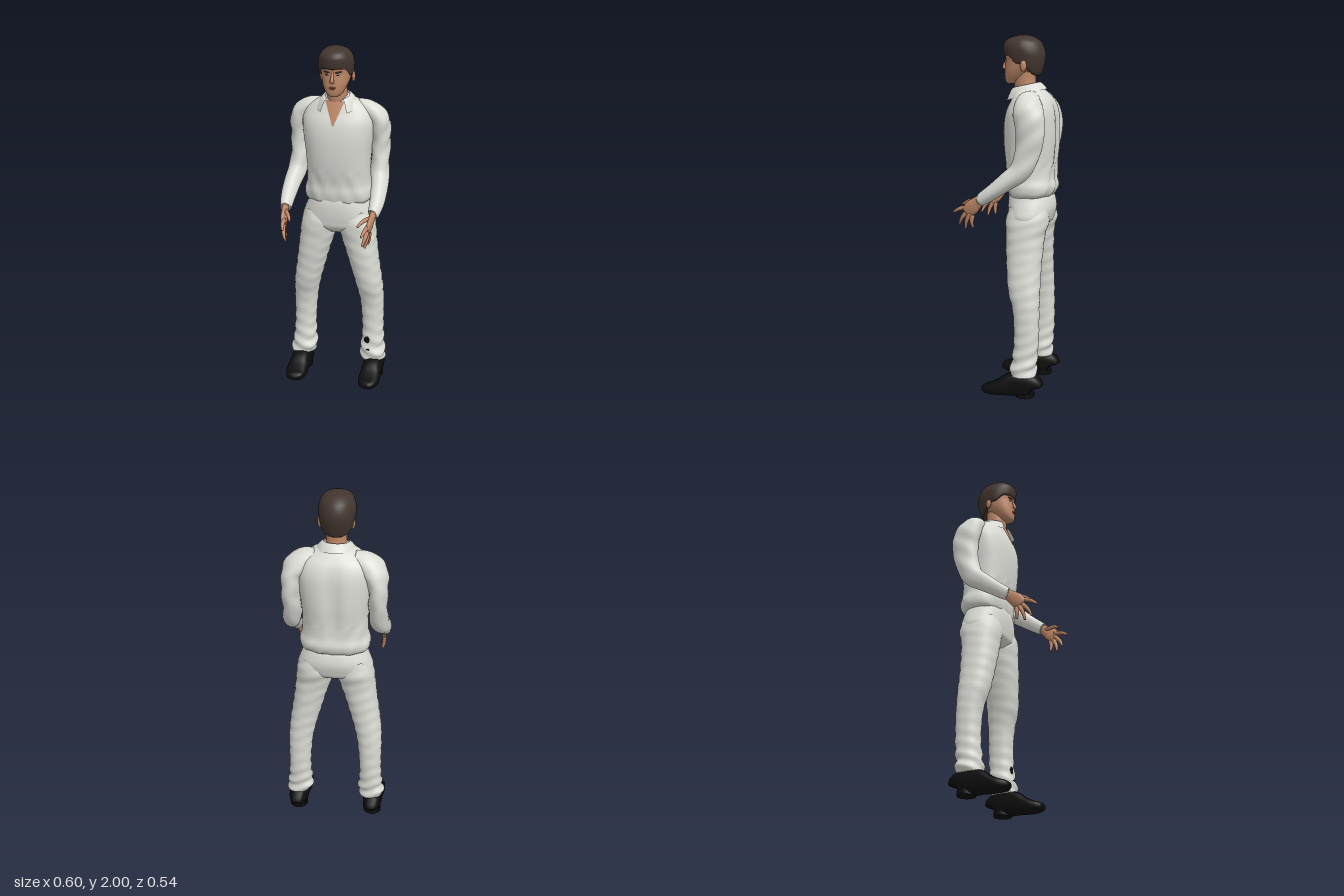
import * as THREE from 'three';
import { ParametricGeometry } from 'three/addons/geometries/ParametricGeometry.js';

const mat = (name, color, side = THREE.FrontSide) => {
  const m = new THREE.MeshStandardMaterial({ color, side });
  m.name = name;
  return m;
};

// Closed skin over oval rings along a path. Each section is [x, y, z, depth radius, side radius].
// flat keeps the rings level, n is the squareness, bend moves each vertex afterwards.
function sweep(sections, { flat = false, n = 2, seg = 20, steps = 30, ref = [0, 0.5, 1], bend } = {}) {
  const path = new THREE.CatmullRomCurve3(sections.map(s => new THREE.Vector3(s[0], s[1], s[2])), false, 'catmullrom', 0.5);
  const radii = new THREE.CatmullRomCurve3(sections.map(s => new THREE.Vector3(s[3], s[4], 0)), false, 'catmullrom', 0.5);
  const pos = [], idx = [];
  const up = new THREE.Vector3(...ref);
  const put = p => { if (bend) bend(p); pos.push(p.x, p.y, p.z); };
  const pw = v => Math.sign(v) * Math.pow(Math.abs(v), 2 / n);
  for (let i = 0; i <= steps; i++) {
    const t = i / steps, c = path.getPoint(t), r = radii.getPoint(t), T = path.getTangent(t);
    if (flat) T.set(0, Math.sign(T.y), 0);
    const U = flat ? new THREE.Vector3(0, 0, 1) : up.clone().addScaledVector(T, -up.dot(T)).normalize();
    const V = T.clone().cross(U);
    for (let j = 0; j < seg; j++) {
      const a = j / seg * Math.PI * 2;
      put(c.clone().addScaledVector(U, r.x * pw(Math.cos(a))).addScaledVector(V, r.y * pw(Math.sin(a))));
    }
  }
  put(path.getPoint(0));
  put(path.getPoint(1));
  const first = (steps + 1) * seg;
  for (let j = 0; j < seg; j++) {
    const k = (j + 1) % seg, e = steps * seg;
    for (let i = 0; i < steps; i++) {
      const a = i * seg + j, b = i * seg + k;
      idx.push(a, b, b + seg, a, b + seg, a + seg);
    }
    idx.push(first, k, j, first + 1, e + j, e + k);
  }
  const g = new THREE.BufferGeometry();
  g.setAttribute('position', new THREE.Float32BufferAttribute(pos, 3));
  g.setIndex(idx);
  g.computeVertexNormals();
  return g;
}

// Level section from height, side extents and front/back extents
const sec = (y, x0, x1, zf, zb) => [(x0 + x1) / 2, y, (zf + zb) / 2, (zf - zb) / 2, Math.abs(x1 - x0) / 2];
const even = list => list.map(([y, rx, zf, zb]) => sec(y, -rx, rx, zf, zb));
// Bell-shaped weight around zero
const bell = d => Math.exp(-d * d);

export function createModel() {
  const root = new THREE.Group();
  root.name = 'standingMan';
  const cloth = mat('offWhiteCloth', 0xdcdcd6);
  const collarCloth = mat('offWhiteCollar', 0xdcdcd6, THREE.DoubleSide);
  const skin = mat('skin', 0xbc8666, THREE.DoubleSide);
  const hair = mat('darkBrownHair', 0x42352e);
  const black = mat('blackLeather', 0x0d0d0e);
  const lip = mat('lips', 0x8e5644);
  const eyeWhite = mat('eyeWhite', 0xcfc4ba);
  const add = (name, geo, m, parent = root) => {
    const mesh = new THREE.Mesh(geo, m);
    mesh.name = name;
    parent.add(mesh);
    return mesh;
  };
  const blob = (name, m, p, s, ry = 0, rz = 0) => {
    const mesh = add(name, new THREE.SphereGeometry(1, 16, 12), m);
    mesh.position.set(...p);
    mesh.scale.set(...s);
    mesh.rotation.set(0, ry, rz);
  };

  // Shirt body with a spine groove and a gathered hem
  add('shirt', sweep(even([
    [1.105, .165, -.01, -.222], [1.13, .19, 0, -.252], [1.17, .195, .006, -.265], [1.22, .183, .006, -.256],
    [1.3, .18, .02, -.26], [1.4, .187, .03, -.27], [1.5, .2, .03, -.27], [1.58, .205, .016, -.262],
    [1.64, .185, -.01, -.24], [1.68, .14, -.025, -.207], [1.71, .085, -.035, -.178], [1.725, .06, -.04, -.16],
  ]), {
    flat: true, n: 2.4, seg: 48, steps: 60, bend: p => {
      if (p.z < -.17 && p.y > 1.2 && p.y < 1.68) {
        p.z += .022 * Math.sin((p.y - 1.2) / .48 * Math.PI) * bell(p.x / .035);
      }
      if (p.y < 1.3) p.z += .004 * Math.sin(p.x * 75 + p.y * 30) * Math.sign(p.z + .13);
    },
  }), cloth);

  // Trouser seat
  add('trouserSeat', sweep(even([
    [1.14, .165, -.005, -.228], [1.1, .178, .004, -.247], [1.05, .198, .005, -.255],
    [1, .212, 0, -.244], [.96, .19, -.01, -.225], [.925, .09, -.05, -.17],
  ]), { flat: true, n: 2.3, seg: 40 }), cloth);

  // Neck and head
  add('neck', sweep(even([[1.62, .07, -.05, -.15], [1.68, .06, -.025, -.15], [1.75, .056, -.018, -.14], [1.8, .055, -.02, -.14]]),
    { flat: true }), skin);
  add('head', sweep(even([
    [1.733, .02, .02, -.02], [1.74, .034, .029, -.045], [1.76, .051, .034, -.075], [1.79, .066, .035, -.11],
    [1.82, .076, .033, -.14], [1.86, .083, .029, -.16], [1.9, .086, .03, -.17], [1.95, .07, 0, -.15], [1.975, .03, -.04, -.11],
  ]), { flat: true, n: 2.15, seg: 36, steps: 40 }), skin);

  // Hair cap: the lower edge changes from fringe to sideburn to nape
  const edge = [1.885, 1.887, 1.88, 1.845, 1.84, 1.81, 1.785, 1.776, 1.775];
  const hairCap = add('hair', sweep(even([
    [1.775, .084, .032, -.155], [1.79, .093, .041, -.172], [1.85, .099, .045, -.189], [1.9, .098, .043, -.193],
    [1.95, .084, .024, -.177], [1.98, .058, -.01, -.145], [1.995, .03, -.042, -.11], [2, .006, -.07, -.082],
  ]), {
    flat: true, seg: 64, steps: 40, bend: p => {
      const d = Math.abs(Math.atan2(p.x, p.z + .075)) / Math.PI * 8;
      const i = Math.min(7, Math.floor(d));
      const e = THREE.MathUtils.lerp(edge[i], edge[i + 1], d - i);
      p.y = 2 - (2 - p.y) * (2 - e) / .225;
    },
  }), hair);
  hairCap.position.x = -.004;

  // Face
  add('nose', sweep([[0, 1.872, .024, .006, .007], [0, 1.845, .035, .008, .008], [0, 1.824, .042, .009, .012], [0, 1.814, .034, .006, .012]],
    { steps: 14, seg: 14 }), skin);
  blob('upperLip', lip, [0, 1.788, .035], [.02, .0035, .004]);
  blob('lowerLip', lip, [0, 1.781, .034], [.017, .004, .004]);

  // Open neckline
  add('neckline', new ParametricGeometry((u, v, p) => {
    const x = (u * 2 - 1) * (.004 + .05 * v);
    p.set(x, 1.57 + .13 * v, .026 - .05 * v - 2 * x * x);
  }, 8, 10), skin);

  // Folded collar, open at the front
  add('collar', new ParametricGeometry((u, v, p) => {
    const a = .68 + u * (Math.PI * 2 - 1.36), back = (1 - Math.cos(a)) / 2;
    const w = Math.sin(v * Math.PI / 2);
    p.set(Math.sin(a) * (.118 - .05 * v),
      THREE.MathUtils.lerp(1.635 + .07 * back, 1.71 + .032 * back, w),
      -.085 + Math.cos(a) * (.118 - .044 * v));
  }, 40, 8), collarCloth);

  for (const s of [1, -1]) {
    const side = s > 0 ? 'left' : 'right';
    const flip = list => list.map(([x, ...rest]) => [s * x, ...rest]);

    // Eyes, brows, ears
    blob(side + 'Eye', eyeWhite, [s * .032, 1.857, .0265], [.013, .0045, .003], s * .3);
    blob(side + 'Iris', black, [s * .031, 1.857, .029], [.005, .0045, .002], s * .3);
    blob(side + 'Brow', hair, [s * .034, 1.872, .0265], [.02, .004, .005], s * .35, s * .1);
    blob(side + 'Ear', skin, [s * .089, 1.832, -.09], [.01, .031, .018], s * .3);

    // Sleeve from shoulder to cuff
    add(side + 'Sleeve', sweep(flip([
      [.1, 1.65, -.135, .05, .05], [.17, 1.632, -.142, .072, .057], [.222, 1.58, -.152, .084, .06],
      [.236, 1.48, -.165, .08, .052], [.235, 1.37, -.15, .07, .051], [.241, 1.275, -.112, .06, .051],
      [.252, 1.215, -.04, .05, .046], [.256, 1.155, .04, .041, .04], [.252, 1.113, .1, .036, .031], [.251, 1.107, .109, .03, .026],
    ]), {
      seg: 28, steps: 60,
      bend: p => { p.x += .003 * Math.sin(p.y * 55 + p.z * 40); },
    }), cloth);

    // Hand
    const hand = new THREE.Group();
    hand.name = side + 'Hand';
    root.add(hand);
    add('palm', sweep(flip([
      [.252, 1.125, .085, .024, .02], [.25, 1.095, .125, .032, .017], [.245, 1.062, .163, .041, .017], [.239, 1.033, .192, .033, .012],
    ]), { steps: 14 }), skin, hand);
    const fingers = [
      [[.238, 1.062, .185], [.232, 1.052, .235], [.221, 1.03, .273]],
      [[.239, 1.043, .183], [.232, 1.005, .22], [.22, .965, .24]],
      [[.241, 1.028, .173], [.236, .985, .195], [.226, .943, .203]],
      [[.243, 1.02, .158], [.242, .985, .163], [.236, .952, .158]],
      [[.244, 1.098, .135], [.212, 1.092, .19], [.191, 1.072, .23]],
    ];
    fingers.forEach(([a, b, c], i) => add(i < 4 ? 'finger' : 'thumb', sweep(flip([
      [...a, .014, .012], [...b, .011, .011], [...c, .006, .006],
    ]), { seg: 12, steps: 12 }), skin, hand));

    // Trouser leg with crumpled cuff
    add(side + 'TrouserLeg', sweep([
      [1.06, .02, .188, -.02, -.23], [.98, .004, .215, 0, -.242], [.9, .02, .225, -.005, -.222], [.8, .052, .236, -.01, -.215],
      [.7, .08, .25, -.02, -.21], [.6, .108, .264, -.032, -.21], [.5, .13, .27, -.06, -.21], [.4, .14, .27, -.07, -.21],
      [.3, .145, .271, -.07, -.208], [.2, .14, .278, -.06, -.2], [.155, .135, .288, -.052, -.198], [.12, .148, .285, -.052, -.194],
    ].map(([y, a, b, f, k]) => sec(y, s * a, s * b, f, k)), {
      flat: true, n: 2.2, seg: 32, steps: 66,
      bend: p => {
        const w = .0015 + .0035 * bell((p.y - .16) / .12);
        p.x += w * Math.sin(p.y * 95 + p.z * 25);
        p.z += w * Math.sin(p.y * 80 + p.x * 30);
      },
    }), cloth);

    // Shoe, heel to toe
    add(side + 'Shoe', sweep(flip([
      [.222, .05, -.192, .04, .03], [.222, .065, -.18, .063, .05], [.221, .069, -.12, .068, .055], [.221, .066, -.06, .065, .056],
      [.222, .047, 0, .046, .061], [.221, .036, .05, .033, .06], [.216, .032, .09, .024, .046], [.212, .032, .11, .012, .022],
    ]), { ref: [0, 1, 0], n: 2.8, seg: 28 }), black);
    const heel = add(side + 'Heel', new THREE.CylinderGeometry(.052, .052, .025, 24), black);
    heel.position.set(s * .222, .0125, -.137);
  }

  // Dark spots on the left shin
  blob('shinSpot', black, [.187, .25, -.066], [.018, .021, .004]);
  blob('cuffSpot', black, [.195, .19, -.056], [.012, .004, .004]);

  return root;
}
